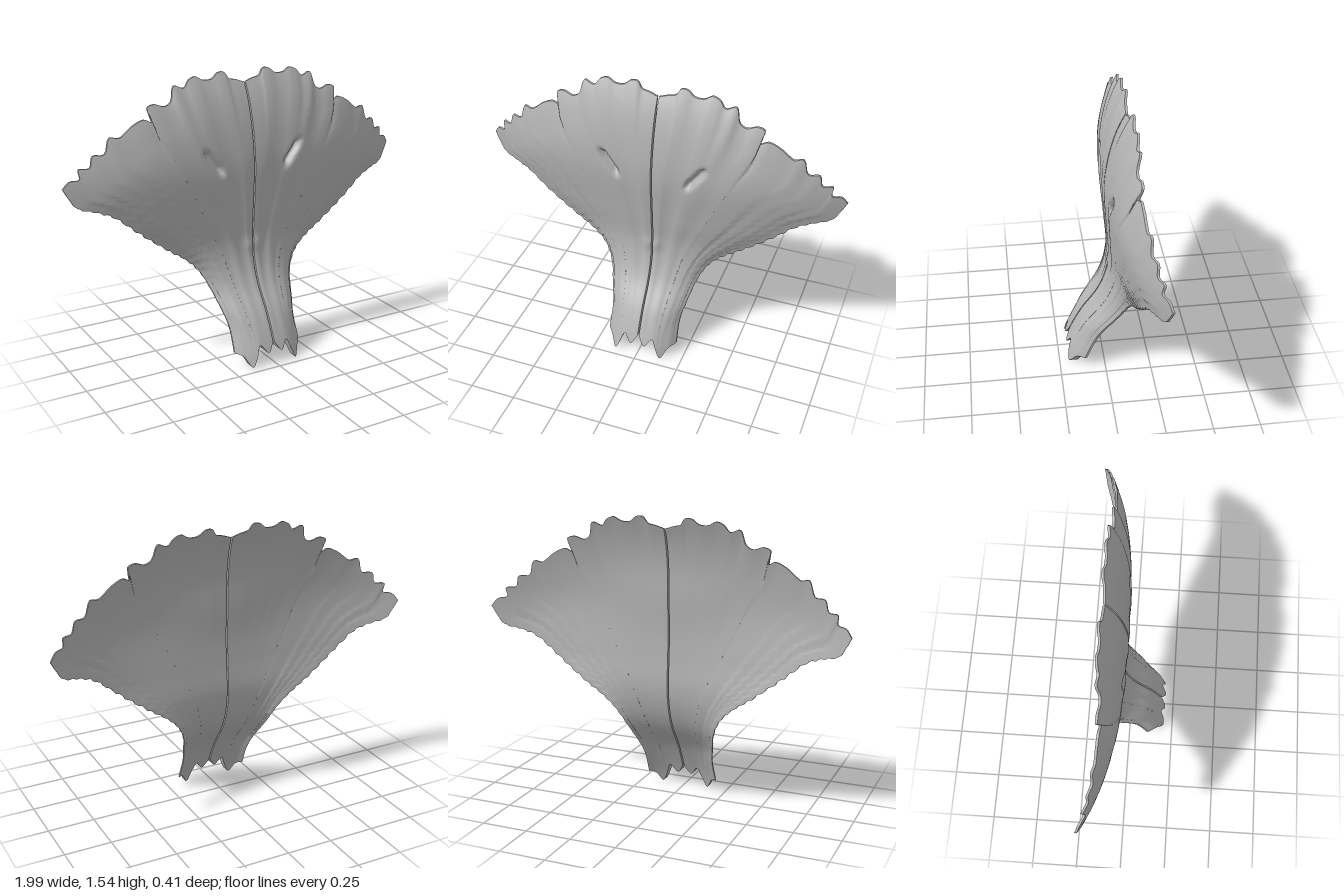
import * as THREE from 'three';

const NU = 108, NV = 72;
const curve = (pts) => new THREE.CatmullRomCurve3(pts.map(([x, y]) => new THREE.Vector3(x, y, 0)));
const sample = (c, n) => Array.from({ length: n + 1 }, (_, i) => c.getPoint(i / n));

// Outline of one half: broken lower end, flaring side, scalloped rim
const bottom = sample(curve([[0.004, 0.12], [0.04, 0.07], [0.08, 0.115], [0.105, 0.06],
  [0.133, 0.004], [0.17, 0.06], [0.2, 0.07]]), NU);
const side = sample(curve([[0.2, 0.07], [0.2, 0.2], [0.22, 0.29], [0.26, 0.42], [0.31, 0.505],
  [0.38, 0.57], [0.46, 0.625], [0.56, 0.7], [0.66, 0.78], [0.76, 0.86], [0.85, 0.895],
  [0.93, 0.92], [0.993, 1.02]]), NV);
const rim = sample(curve([[0.004, 1.48], [0.05, 1.495], [0.09, 1.505], [0.115, 1.538], [0.15, 1.538],
  [0.19, 1.51], [0.24, 1.51], [0.28, 1.53], [0.32, 1.515], [0.35, 1.48], [0.405, 1.495], [0.43, 1.42],
  [0.465, 1.4], [0.52, 1.415], [0.558, 1.4], [0.54, 1.33], [0.58, 1.345], [0.64, 1.32], [0.69, 1.28],
  [0.715, 1.265], [0.76, 1.27], [0.79, 1.19], [0.845, 1.185], [0.865, 1.125], [0.915, 1.12],
  [0.915, 1.07], [0.96, 1.06], [0.993, 1.02]]), NU);

// Fine chipping along the upper side edge
side.forEach((p, j) => {
  const v = j / NV;
  const chip = 0.007 * Math.sin(j * 1.9) * Math.sin(Math.PI * v) * v;
  p.x += chip;
  p.y -= chip;
});

// Front profile along the midline, as height and depth
const profile = sample(curve([[0, 0.225], [0.08, 0.2], [0.25, 0.12], [0.4, 0.02], [0.5, -0.02],
  [0.62, -0.04], [0.8, -0.03], [1.05, -0.013], [1.2, -0.022], [1.4, -0.05], [1.56, -0.088]]), 200);
function profileZ(y) {
  let i = 1;
  while (i < 200 && profile[i].x < y) i++;
  const a = profile[i - 1], b = profile[i];
  return a.y + (b.y - a.y) * (y - a.x) / (b.x - a.x);
}

const gauss = (d, s) => Math.exp(-d * d / (s * s));

// Blend the four outline curves, then set depth and thickness
function surfacePoint(i, j, back) {
  const u = i / NU, v = j / NV;
  const mix = (k) => {
    const mid = bottom[0][k] * (1 - v) + rim[0][k] * v;
    const across = (1 - u) * mid + u * side[j][k];
    const along = (1 - v) * bottom[i][k] + v * rim[i][k];
    const corners = (1 - v) * ((1 - u) * bottom[0][k] + u * bottom[NU][k])
      + v * ((1 - u) * rim[0][k] + u * rim[NU][k]);
    return across + along - corners;
  };
  const x = mix('x'), y = mix('y');
  let z = profileZ(y) - 0.19 * x ** 4 - 0.09 * (1 - v * v) * u ** 3
    - 0.055 * v ** 8 * (1 - u ** 4);
  const inner = (1 - u ** 3) * (1 - v ** 6);
  if (back) {
    // Thicker body with a low swelling across the upper middle
    z -= 0.012 + 0.045 * inner + 0.02 * inner * gauss(y - 1.1, 0.16) * gauss(x, 0.35);
  } else {
    // Soft radiating ridges, a slanted pit and a small midline knob
    z += 0.004 * Math.sin(u * 24) * Math.sin(Math.PI * v) * (1 - u);
    const t = Math.min(1, Math.max(0, ((x - 0.2) * 0.07 + (y - 1.05) * 0.09) / 0.013));
    z -= 0.035 * gauss(Math.hypot(x - 0.2 - 0.07 * t, y - 1.05 - 0.09 * t), 0.018);
    z += 0.008 * gauss(Math.hypot(x - 0.02, y - 0.61), 0.03);
  }
  return [x, y, z];
}

function makeGeometry(points, index, mirror) {
  const g = new THREE.BufferGeometry();
  const sign = mirror ? -1 : 1;
  g.setAttribute('position', new THREE.Float32BufferAttribute(
    points.flatMap(([x, y, z]) => [x * sign, y, z]), 3));
  if (mirror) {
    for (let k = 0; k < index.length; k += 3) [index[k], index[k + 1]] = [index[k + 1], index[k]];
  }
  g.setIndex(index);
  g.computeVertexNormals();
  return g;
}

// Front or back sheet
function sheet(back, mirror) {
  const points = [], index = [];
  for (let j = 0; j <= NV; j++) {
    for (let i = 0; i <= NU; i++) {
      points.push(surfacePoint(i, j, back));
      if (i === NU || j === NV) continue;
      const a = j * (NU + 1) + i, b = a + 1, c = a + NU + 1, d = c + 1;
      if (back) index.push(a, d, b, a, c, d);
      else index.push(a, b, d, a, d, c);
    }
  }
  return makeGeometry(points, index, mirror);
}

// Thin wall joining the two sheets round the outline
function edgeWall(mirror) {
  const loop = [];
  for (let i = 0; i < NU; i++) loop.push([i, 0]);
  for (let j = 0; j < NV; j++) loop.push([NU, j]);
  for (let i = NU; i > 0; i--) loop.push([i, NV]);
  for (let j = NV; j >= 0; j--) loop.push([0, j]);
  const points = [], index = [];
  loop.forEach(([i, j], k) => {
    points.push(surfacePoint(i, j, false), surfacePoint(i, j, true));
    if (k === loop.length - 1) return;
    const f = 2 * k, b = f + 1;
    index.push(f, b, f + 2, b, b + 2, f + 2);
  });
  return makeGeometry(points, index, mirror);
}

export function createModel() {
  const model = new THREE.Group();
  model.name = 'boneFrill';
  const bone = new THREE.MeshStandardMaterial({ color: 0xb4b4b4 });
  bone.name = 'grey bone';

  for (const mirror of [false, true]) {
    const half = new THREE.Group();
    half.name = mirror ? 'rightHalf' : 'leftHalf';
    const parts = {
      frontSurface: sheet(false, mirror),
      backSurface: sheet(true, mirror),
      brokenEdge: edgeWall(mirror),
    };
    for (const [name, geometry] of Object.entries(parts)) {
      const mesh = new THREE.Mesh(geometry, bone);
      mesh.name = name;
      half.add(mesh);
    }
    model.add(half);
  }
  return model;
}
